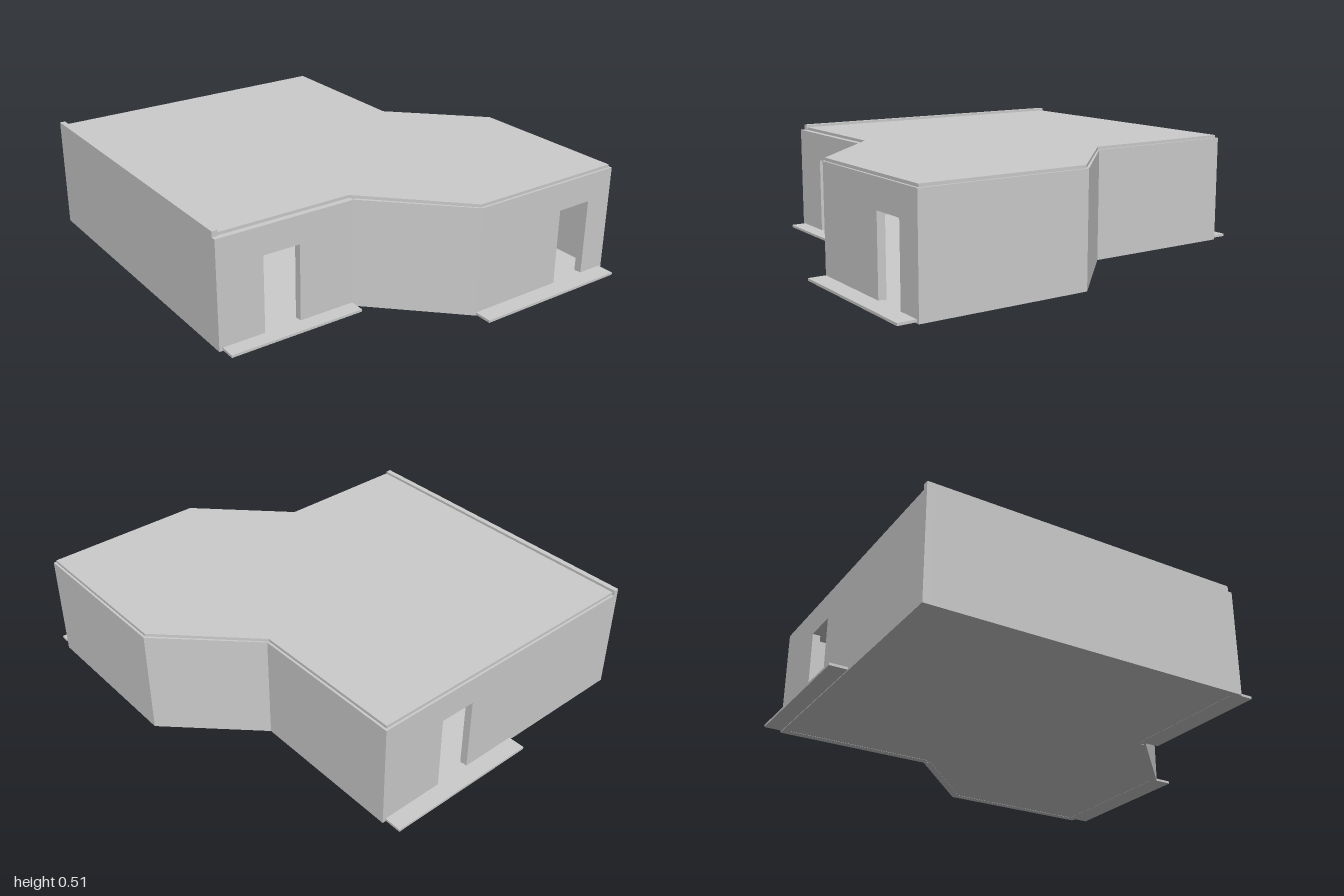
import * as THREE from 'three';

const material = new THREE.MeshStandardMaterial({ color: 0xcccccc, flatShading: true });

// Outline corners as [x, z], starting at the back and going round past +x
const footprint = [
  [-0.88, -0.92], [0.51, -0.92], [0.51, -0.20], [0.88, 0.16],
  [0.88, 0.92], [0.13, 0.92], [-0.24, 0.56], [-0.88, 0.56],
];
const roofOutline = [
  [-0.87, -0.91], [0.50, -0.91], [0.50, -0.20], [0.87, 0.165],
  [0.87, 0.91], [0.13, 0.91], [-0.245, 0.535], [-0.87, 0.535],
];
const floorOutline = [
  [-0.875, -0.915], [0.505, -0.915], [0.505, -0.20], [0.875, 0.163],
  [0.875, 0.915], [0.13, 0.915], [-0.243, 0.555], [-0.875, 0.555],
];

const WALL_TOP = 0.487;
const WALL_DEPTH = 0.035;
const DOOR_BOTTOM = 0.01;
const DOOR_TOP = 0.36;
// Door spans measured along the wall, keyed by wall number
const doors = { 0: [0.91, 1.08], 4: [0.13, 0.30], 6: [0.26, 0.43] };

function part(name, geometry) {
  const mesh = new THREE.Mesh(geometry, material);
  mesh.name = name;
  return mesh;
}

// Horizontal slab from an outline
function slab(name, outline, y0, y1) {
  const shape = new THREE.Shape(outline.map(([x, z]) => new THREE.Vector2(x, -z)));
  const geometry = new THREE.ExtrudeGeometry(shape, { depth: y1 - y0, bevelEnabled: false });
  geometry.rotateX(-Math.PI / 2).translate(0, y0, 0);
  return part(name, geometry);
}

function box(name, x0, x1, y0, y1, z0, z1) {
  const geometry = new THREE.BoxGeometry(x1 - x0, y1 - y0, z1 - z0);
  geometry.translate((x0 + x1) / 2, (y0 + y1) / 2, (z0 + z1) / 2);
  return part(name, geometry);
}

// Upright panel between two corners, thickened inwards, with an optional doorway
function wall(name, [ax, az], [bx, bz], door) {
  const length = Math.hypot(bx - ax, bz - az);
  const shape = new THREE.Shape();
  shape.moveTo(0, 0).lineTo(length, 0).lineTo(length, WALL_TOP).lineTo(0, WALL_TOP).closePath();
  if (door) {
    const [s, e] = door;
    const hole = new THREE.Path();
    hole.moveTo(s, DOOR_BOTTOM).lineTo(s, DOOR_TOP).lineTo(e, DOOR_TOP).lineTo(e, DOOR_BOTTOM).closePath();
    shape.holes.push(hole);
  }
  const mesh = part(name, new THREE.ExtrudeGeometry(shape, { depth: WALL_DEPTH, bevelEnabled: false }));
  mesh.position.set(ax, 0, az);
  mesh.rotation.y = Math.atan2(az - bz, bx - ax);
  return mesh;
}

export function createModel() {
  const model = new THREE.Group();
  model.name = 'building';

  // Walls
  const walls = new THREE.Group();
  walls.name = 'walls';
  const names = ['backWall', 'leftRearWall', 'leftAngledWall', 'leftFrontWall',
    'frontLeftWall', 'frontAngledWall', 'frontRightWall', 'rightWall'];
  names.forEach((name, i) => {
    walls.add(wall(name, footprint[i], footprint[(i + 1) % footprint.length], doors[i]));
  });
  model.add(walls);

  // Floor, stepped roof and the raised kerb along the right edge
  model.add(slab('floor', floorOutline, 0.001, 0.012));
  model.add(slab('roof', roofOutline, 0.48, 0.50));
  model.add(box('roofKerb', -0.88, -0.855, 0.485, 0.512, -0.92, 0.54));

  // Doorstep ledges
  model.add(box('backLedge', -0.24, 0.495, 0.004, 0.015, -1, -0.90));
  model.add(box('frontLeftLedge', 0.13, 0.865, 0.004, 0.015, 0.90, 1));
  model.add(box('frontRightLedge', -0.865, -0.24, 0.004, 0.015, 0.54, 0.63));

  return model;
}
